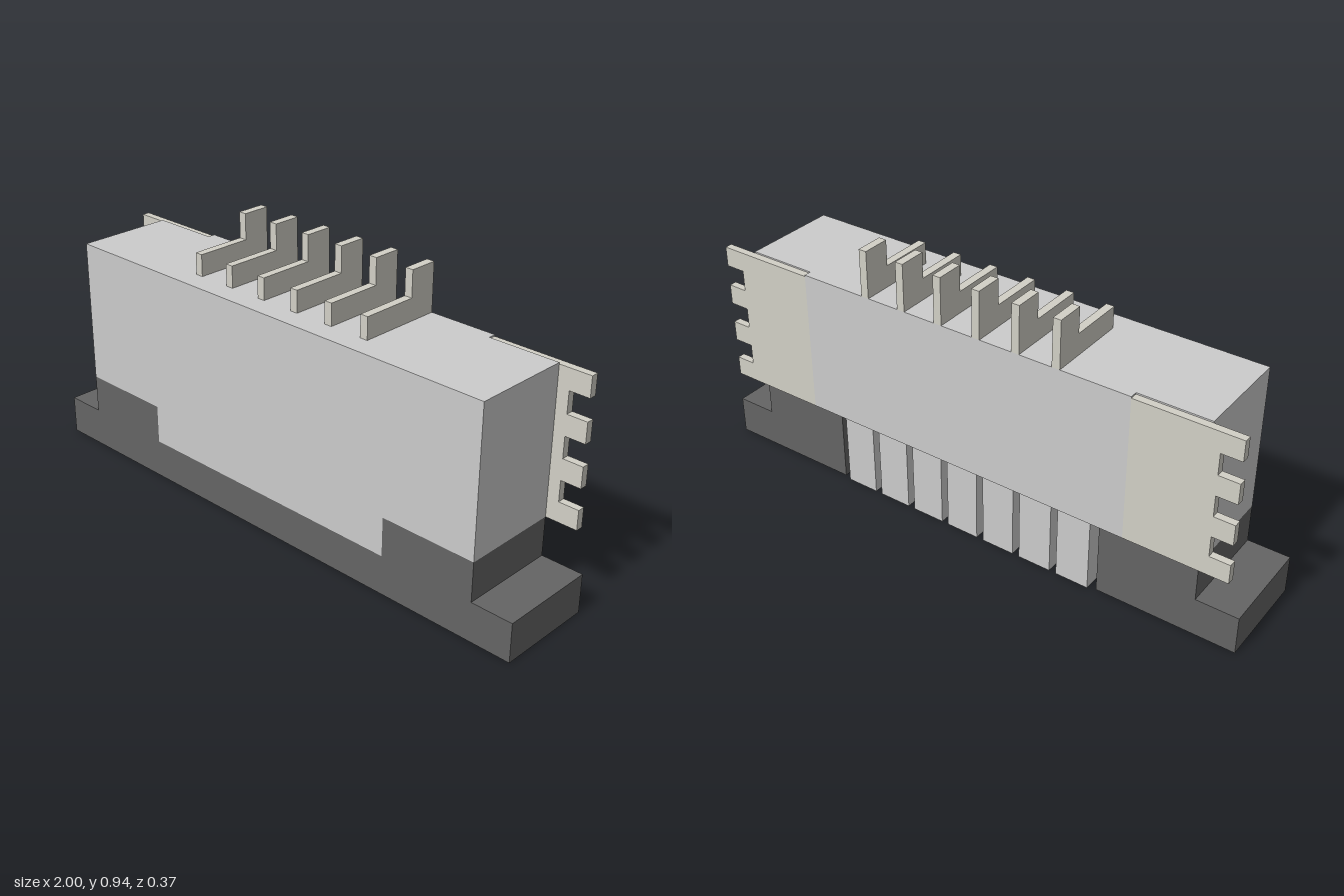
import * as THREE from 'three';

const FRONT = 0.185, BACK = -0.183, BASE_BACK = -0.157, PITCH = 0.143;

const housingMat = new THREE.MeshStandardMaterial({ color: 0xcccccc });
const metalMat = new THREE.MeshStandardMaterial({ color: 0xd2d0c6 });
const darkMat = new THREE.MeshStandardMaterial({ color: 0x646464 });

function add(group, name, geometry, material) {
  const mesh = new THREE.Mesh(geometry, material);
  mesh.name = name;
  group.add(mesh);
  return mesh;
}

// Box given by its limits on each axis
function block(x0, x1, y0, y1, z0, z1) {
  return new THREE.BoxGeometry(x1 - x0, y1 - y0, z1 - z0)
    .translate((x0 + x1) / 2, (y0 + y1) / 2, (z0 + z1) / 2);
}

// Flat outline pushed along +z
function plate(points, depth) {
  const shape = new THREE.Shape(points.map(([x, y]) => new THREE.Vector2(x, y)));
  return new THREE.ExtrudeGeometry(shape, { depth, bevelEnabled: false });
}

const mirror = (points) => points.map(([x, y]) => [-x, y]).reverse();

export function createModel() {
  const model = new THREE.Group();
  model.name = 'connector';

  // Housing: plan outline with rear corner recesses for the side tabs
  const half = [[0.855, -FRONT], [0.855, -BASE_BACK], [0.61, -BASE_BACK], [0.61, -BACK]];
  add(model, 'housing', plate([...half, ...mirror(half)], 0.505).rotateX(-Math.PI / 2).translate(0, 0.27, 0), housingMat);
  add(model, 'housingFrontPanel', block(-0.515, 0.515, 0.135, 0.27, 0.03, FRONT), housingMat);

  // Stepped dark base: full-width front, open in the middle at the back
  const step = [[1, 0], [1, 0.135], [0.855, 0.135], [0.855, 0.27], [0.515, 0.27], [0.515, 0.135]];
  add(model, 'baseFront', plate([...step, ...mirror(step)], FRONT - 0.03).translate(0, 0, 0.03), darkMat);
  const wing = [[0.515, 0], ...step.slice(0, 5)];
  for (const [name, outline] of [['leftBaseWing', wing], ['rightBaseWing', mirror(wing)]]) {
    add(model, name, plate(outline, 0.03 - BASE_BACK).translate(0, 0, BASE_BACK), darkMat);
  }

  // Ribs behind the cable opening
  const ribs = new THREE.Group();
  ribs.name = 'rearRibs';
  model.add(ribs);
  for (let i = -3; i <= 3; i++) {
    add(ribs, 'rib', block(i * PITCH - 0.059, i * PITCH + 0.059, 0, 0.27, -0.167, -0.08), housingMat);
  }

  // Toothed solder tabs on both ends
  const tab = [[0.61, 0.27], [0.965, 0.27]];
  for (const [low, high] of [[0.338, 0.41], [0.482, 0.555], [0.626, 0.7]]) {
    tab.push([0.965, low], [0.895, low], [0.895, high], [0.965, high]);
  }
  tab.push([0.965, 0.77], [0.61, 0.77]);
  for (const [name, outline] of [['leftTab', tab], ['rightTab', mirror(tab)]]) {
    add(model, name, plate(outline, BASE_BACK - BACK).translate(0, 0, BACK), metalMat);
  }

  // L-shaped pins on top; the profile's x runs along the model's -z
  const pins = new THREE.Group();
  pins.name = 'pins';
  model.add(pins);
  const profile = [[-0.11, 0.775], [0.183, 0.775], [0.183, 0.94], [0.085, 0.94], [0.085, 0.85], [-0.11, 0.85]];
  for (let i = 0; i < 6; i++) {
    const pin = add(pins, 'pin', plate(profile, 0.028).translate(0, 0, -0.014).rotateY(Math.PI / 2), metalMat);
    pin.position.x = (i - 2.5) * PITCH;
  }

  return model;
}
